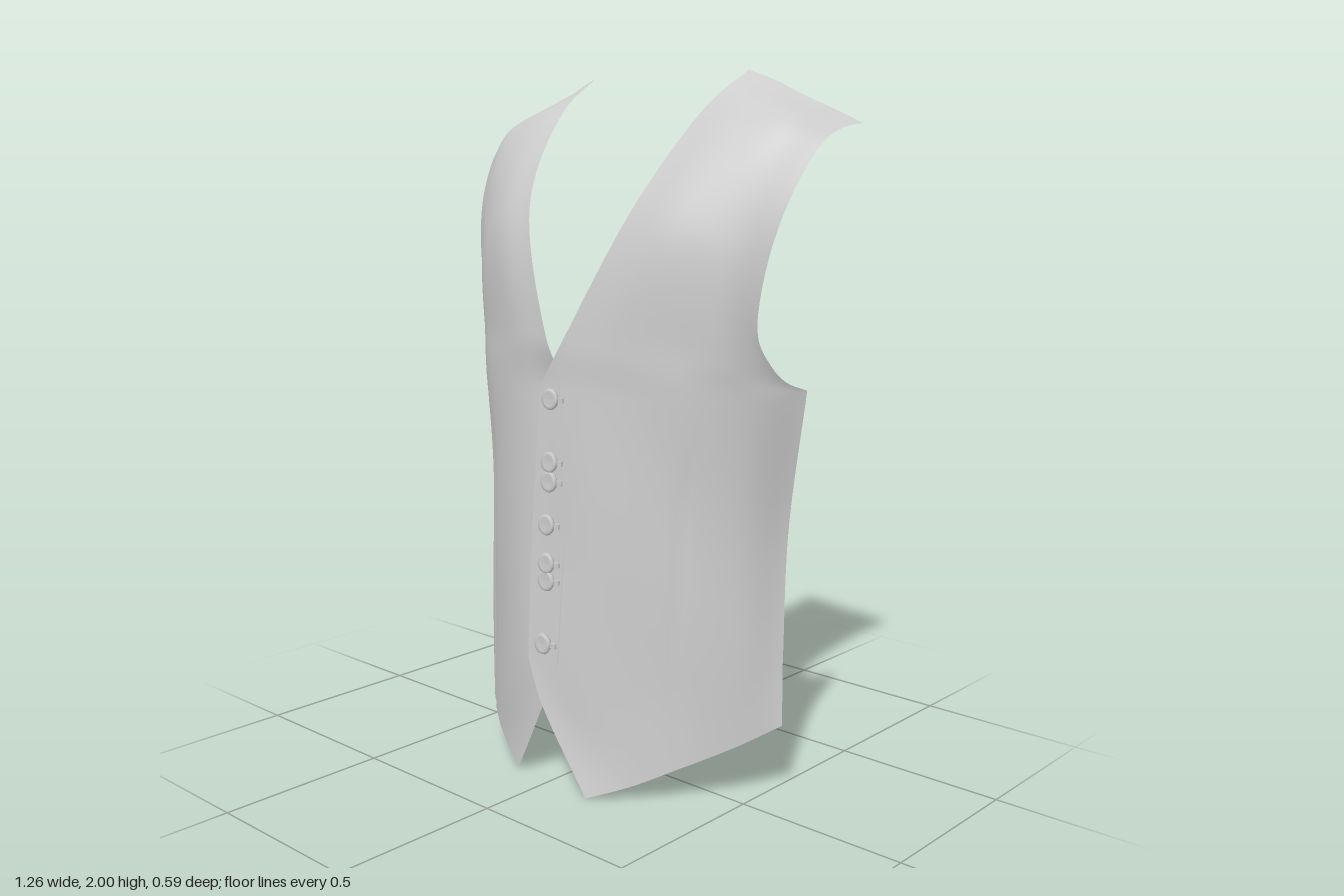
import * as THREE from 'three';

// Edges of one front panel in three runs (hem, body, chest) that meet at corners
const centreEdge = [
  [[0.155, 0.002, 0.272], [0, 0.25, 0.29], [-0.052, 0.37, 0.288]],
  [[-0.052, 0.37, 0.288], [-0.055, 0.75, 0.263], [-0.045, 1.14, 0.24]],
  [[-0.045, 1.14, 0.24], [0.035, 1.28, 0.225], [0.2, 1.64, 0.12], [0.27, 1.9, -0.09], [0.29, 2, -0.245]],
];
const outerEdge = [
  [[0.553, 0.215, -0.1], [0.54, 0.38, -0.115]],
  [[0.54, 0.38, -0.115], [0.522, 0.75, -0.153], [0.54, 1.14, -0.2]],
  [[0.54, 1.14, -0.2], [0.527, 1.17, -0.12], [0.52, 1.22, -0.06], [0.515, 1.3, -0.008], [0.541, 1.47, 0],
    [0.578, 1.65, -0.045], [0.61, 1.795, -0.14], [0.621, 1.836, -0.215], [0.63, 1.85, -0.295]],
];
// Smooth lines between the edges, from hem to shoulder: front, dart and side
const frontLine = [[0.26, 0.045, 0.2], [0.14, 0.36, 0.246], [0.14, 0.75, 0.227], [0.14, 1.13, 0.212],
  [0.18, 1.26, 0.197], [0.3, 1.6, 0.122], [0.35, 1.885, -0.08], [0.37, 1.97, -0.255]];
const dartLine = [[0.37, 0.105, 0.125], [0.355, 0.36, 0.125], [0.365, 0.75, 0.11], [0.37, 1.12, 0.12],
  [0.355, 1.24, 0.128], [0.39, 1.57, 0.095], [0.43, 1.868, -0.085], [0.46, 1.928, -0.265]];
const sideLine = [[0.475, 0.163, 0.015], [0.478, 0.37, 0.005], [0.477, 0.75, -0.008], [0.487, 1.12, 0.005],
  [0.465, 1.23, 0.054], [0.475, 1.53, 0.052], [0.525, 1.84, -0.1], [0.55, 1.888, -0.28]];
// Spans of the smooth lines covered by each run, and rows built along it
const runs = [{ from: 0, spans: 1, steps: 14 }, { from: 1, spans: 2, steps: 30 }, { from: 3, spans: 4, steps: 56 }];

const ACROSS = 40;
const { smoothstep } = THREE.MathUtils;
const through = points => new THREE.CatmullRomCurve3(points, false, 'centripetal');
const spline = points => through(points.map(p => new THREE.Vector3(...p)));

// One panel; side = 1 is the overlapping left panel, side = -1 the right one beneath
function panelGeometry(side) {
  const positions = [], index = [];
  const lines = [frontLine, dartLine, sideLine].map(spline);
  let rows = 0;
  runs.forEach(({ from, spans, steps }, r) => {
    const centre = spline(centreEdge[r]), outer = spline(outerEdge[r]);
    for (let j = r ? 1 : 0; j <= steps; j++) {
      const t = j / steps, v = (from + t * spans) / 7;
      const section = through([centre.getPoint(t), ...lines.map(l => l.getPoint(v)), outer.getPoint(t)]);
      for (let i = 0; i <= ACROSS; i++) {
        const u = i / ACROSS, p = section.getPoint(u);
        const low = 1 - smoothstep(p.y, 1.12, 1.28);
        // stitched dart running up from the hem
        if (i === ACROSS / 2) p.z -= 0.007 * (1 - smoothstep(p.y, 0.85, 1.02));
        // soft drape folds that fade towards the edges
        p.z += 0.004 * Math.sin(9 * p.x + 8 * p.y) * Math.sin(Math.PI * u) * low;
        if (side < 0) {
          p.x += low * 0.02 * u - 0.02 * (1 - u) * (1 - smoothstep(p.y, 0, 0.25));
          p.z -= 0.016 * low * (1 - smoothstep(u, 0.05, 0.35));
        }
        positions.push(p.x * side, p.y, p.z);
      }
      rows++;
    }
  });
  const n = ACROSS + 1;
  for (let j = 0; j < rows - 1; j++) {
    for (let i = 0; i < ACROSS; i++) {
      const a = j * n + i, b = a + 1, c = a + n, d = c + 1;
      if (side > 0) index.push(a, b, d, a, d, c);
      else index.push(a, d, b, a, c, d);
    }
  }
  const geo = new THREE.BufferGeometry();
  geo.setAttribute('position', new THREE.Float32BufferAttribute(positions, 3));
  geo.setIndex(index);
  geo.computeVertexNormals();
  return geo;
}

export function createModel() {
  const model = new THREE.Group();
  model.name = 'waistcoat';
  const cloth = new THREE.MeshStandardMaterial({ color: 0xcccccc, side: THREE.DoubleSide });
  const solid = new THREE.MeshStandardMaterial({ color: 0xcccccc });
  const add = (name, geo, mat, parent = model) => {
    const mesh = new THREE.Mesh(geo, mat);
    mesh.name = name;
    parent.add(mesh);
    return mesh;
  };

  add('leftFrontPanel', panelGeometry(1), cloth);
  add('rightFrontPanel', panelGeometry(-1), cloth);

  // Rounded buttons with a small buttonhole stitch beside each; some sit deeper in the cloth
  const profile = [[0, -0.008], [0.026, -0.008], [0.03, 0], [0.027, 0.006], [0.02, 0.005], [0, 0.004]];
  const buttonGeo = new THREE.LatheGeometry(profile.map(p => new THREE.Vector2(...p)), 24);
  buttonGeo.rotateX(Math.PI / 2);
  const stitchGeo = new THREE.BoxGeometry(0.02, 0.014, 0.008);
  const buttons = [[1.11, 0], [0.935, 0.004], [0.88, 0.005], [0.76, 0], [0.65, 0.004], [0.6, 0.006], [0.42, 0]];
  buttons.forEach(([y, sink]) => {
    const fastening = new THREE.Group();
    fastening.name = 'fastening';
    fastening.position.set(0, y, 0.304 - 0.053 * y - sink);
    fastening.rotation.x = -0.05;
    add('button', buttonGeo, solid, fastening);
    add('buttonholeStitch', stitchGeo, solid, fastening).position.set(0.035, 0, -0.006);
    model.add(fastening);
  });
  return model;
}
